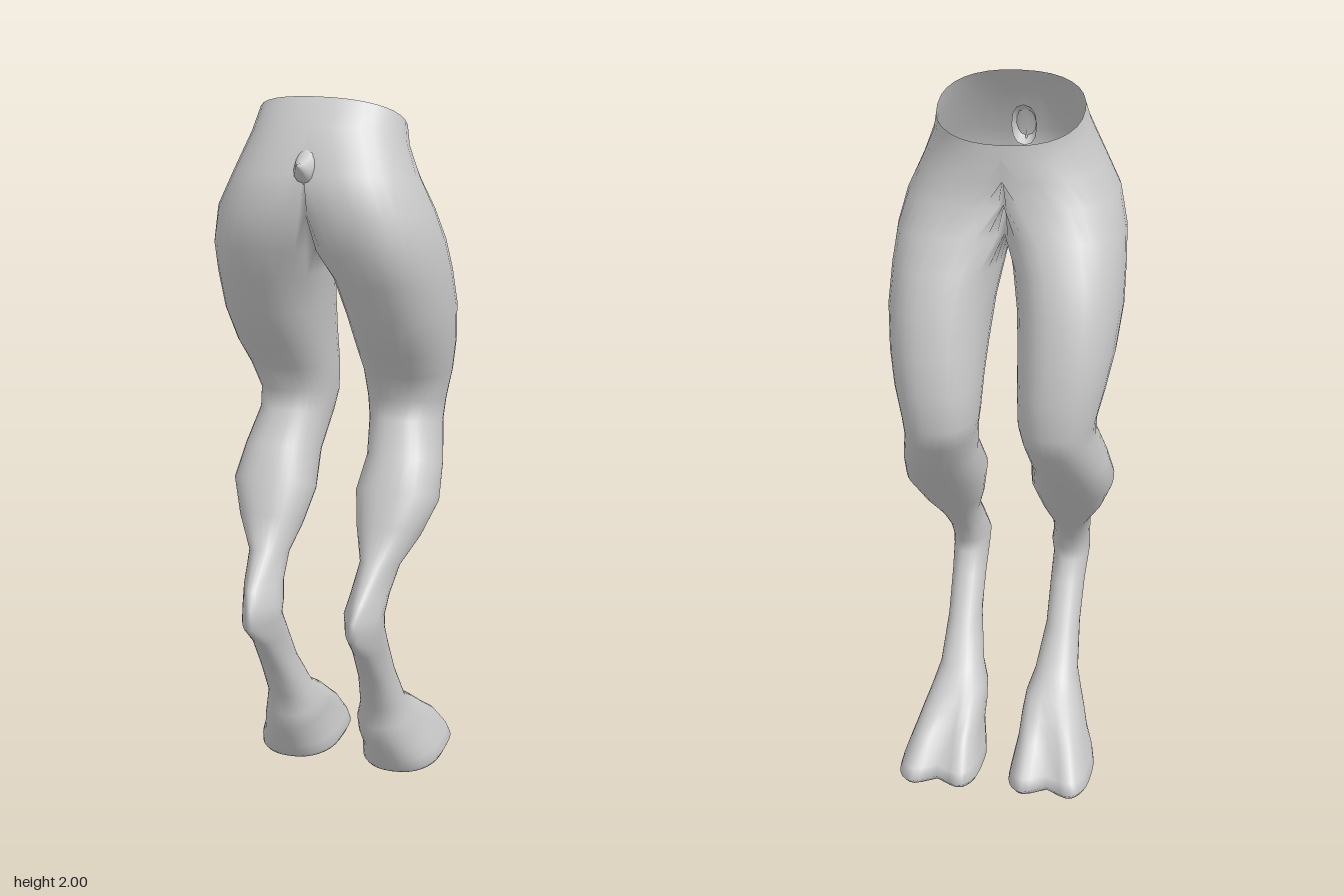
import * as THREE from 'three';
import { mergeVertices, mergeGeometries } from 'three/addons/utils/BufferGeometryUtils.js';

// Each section is [backZ, backY, frontZ, frontY, innerX, outerX, backPinch, cleft].
// Waist and hips: loops reach past x = 0 and are trimmed on the middle plane.
const HIPS = [
  [0.17, 2.0, -0.10, 1.86, -0.2, 0.2],
  [0.225, 1.93, -0.102, 1.82, -0.212, 0.212],
  [0.285, 1.81, -0.102, 1.76, -0.16, 0.25],
  [0.302, 1.71, -0.108, 1.69, -0.10, 0.29],
  [0.28, 1.6, -0.145, 1.61, -0.03, 0.312],
];
const THIGH = [
  [0.235, 1.515, -0.19, 1.52, 0.015, 0.318],
  [0.175, 1.4, -0.23, 1.42, 0.035, 0.32],
  [0.10, 1.295, -0.258, 1.3, 0.045, 0.308],
  [0.03, 1.22, -0.272, 1.2, 0.05, 0.29],
  [-0.008, 1.145, -0.272, 1.1, 0.055, 0.268],
];
const SHANK = [
  [0.005, 1.09, -0.25, 1.04, 0.065, 0.265],
  [0.06, 1.0, -0.165, 0.935, 0.078, 0.288],
  [0.115, 0.92, -0.075, 0.835, 0.066, 0.3],
  [0.15, 0.82, 0.0, 0.755, 0.085, 0.265],
  [0.2, 0.73, 0.06, 0.69, 0.11, 0.22, 0.2],
  [0.3, 0.645, 0.11, 0.635, 0.105, 0.21, 0.5],
  [0.33, 0.6, 0.138, 0.58, 0.095, 0.205, 0.6],
  [0.34, 0.545, 0.138, 0.545, 0.1, 0.205, 0.6],
  [0.245, 0.465, 0.105, 0.485, 0.1, 0.2, 0.3],
  [0.165, 0.36, 0.03, 0.37, 0.1, 0.197],
  [0.088, 0.24, -0.055, 0.255, 0.08, 0.205],
];
const HOOF = [
  [0.085, 0.18, -0.13, 0.213, 0.062, 0.22, 0, 0.1],
  [0.07, 0.13, -0.185, 0.175, 0.058, 0.235, 0, 0.4],
  [0.045, 0.085, -0.25, 0.13, 0.058, 0.25, 0, 0.8],
  [0.025, 0.05, -0.32, 0.055, 0.047, 0.272, 0, 1],
  [0.005, 0.015, -0.335, 0.025, 0.042, 0.28, 0, 1],
  [-0.01, 0.002, -0.315, 0.005, 0.05, 0.272, 0, 1],
  [-0.13, 0, -0.13, 0, 0.16, 0.16],
];
// For the tail, "back" is its upper edge and "front" its lower edge.
const TAIL = [
  [0.23, 1.89, 0.25, 1.77, -0.036, 0.036],
  [0.275, 1.855, 0.293, 1.795, -0.026, 0.026],
  [0.302, 1.845, 0.312, 1.82, -0.013, 0.013],
  [0.337, 1.846, 0.337, 1.844, -0.001, 0.001],
];

// Lofts a skin through closed loops; with trim, loops stop at the middle plane.
function loft(rows, sides, trim) {
  const pos = [], index = [];
  for (const [bz, by, fz, fy, xin, xout, pinch = 0, cleft = 0] of rows) {
    for (let j = 0; j < sides; j++) {
      const t = (j / sides) * Math.PI * 2, c = Math.cos(t), s = Math.sin(t);
      const power = 2 / (2.3 + (c < 0 ? cleft : 0));
      const u = Math.sign(c) * Math.abs(c) ** power;
      const v = Math.sign(s) * Math.abs(s) ** power;
      const dx = v * (xout - xin) / 2 * (1 - pinch * Math.max(0, u));
      // V-shaped notch between the two toes
      const notch = c < 0 ? cleft * 0.048 * Math.max(0, 1 - Math.abs(dx) / 0.07) : 0;
      const x = (xin + xout) / 2 + dx;
      pos.push(trim ? Math.max(0, x) : x,
        (by + fy) / 2 + u * (by - fy) / 2,
        (bz + fz) / 2 + u * (bz - fz) / 2 + notch);
    }
  }
  const onPlane = (...ids) => trim && ids.every((i) => pos[i * 3] === 0);
  for (let i = 0; i < rows.length - 1; i++) {
    for (let j = 0; j < sides; j++) {
      const k = (j + 1) % sides;
      const a = i * sides + j, c = i * sides + k, b = a + sides, d = c + sides;
      if (!onPlane(a, b, c)) index.push(a, b, c);
      if (!onPlane(c, b, d)) index.push(c, b, d);
    }
  }
  const geo = new THREE.BufferGeometry();
  geo.setAttribute('position', new THREE.Float32BufferAttribute(pos, 3));
  geo.setIndex(index);
  return geo;
}

// Reflects a geometry in x and turns its faces round again.
function mirrored(geo) {
  const copy = geo.clone().scale(-1, 1, 1);
  copy.setIndex(Array.from(geo.index.array).reverse());
  return copy;
}

export function createModel() {
  const model = new THREE.Group();
  model.name = 'hoofedLegs';
  const material = new THREE.MeshStandardMaterial({ color: 0xcccccc, side: THREE.DoubleSide });

  // Hips and both legs form one continuous skin, open at the waist
  const half = loft([...HIPS, ...THIGH, ...SHANK, ...HOOF], 32, true);
  const skin = mergeVertices(mergeGeometries([half, mirrored(half)]), 1e-4);
  skin.computeVertexNormals();
  const body = new THREE.Mesh(skin, material);
  body.name = 'hipsAndLegs';
  model.add(body);

  // Short pointed tail
  const tailGeo = loft(TAIL, 12, false);
  tailGeo.computeVertexNormals();
  const tail = new THREE.Mesh(tailGeo, material);
  tail.name = 'tail';
  model.add(tail);

  return model;
}
